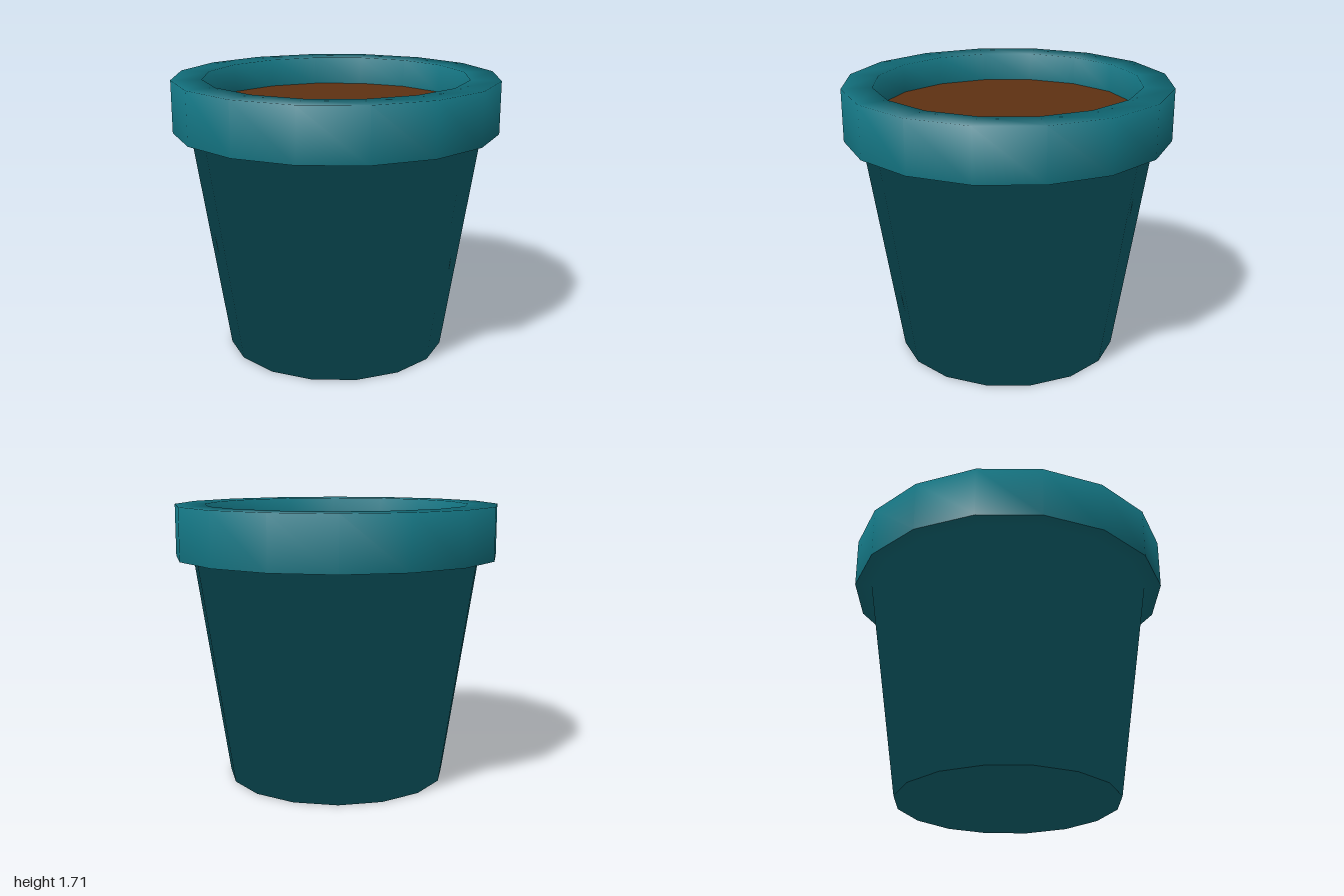
import * as THREE from 'three';

const SIDES = 16;

// Lathe whose normals blend evenly across each profile corner
function smoothLathe(points) {
  const profile = points.map(([r, y]) => new THREE.Vector2(r, y));
  const geometry = new THREE.LatheGeometry(profile, SIDES);
  const edges = profile.slice(1).map((p, i) => {
    const d = p.clone().sub(profile[i]).normalize();
    return new THREE.Vector2(d.y, -d.x);
  });
  const count = profile.length;
  const normals = profile.map((_, i) =>
    edges[Math.max(i - 1, 0)].clone().add(edges[Math.min(i, count - 2)]).normalize());
  const attribute = geometry.attributes.normal;
  for (let i = 0; i < attribute.count; i++) {
    const phi = (Math.floor(i / count) / SIDES) * Math.PI * 2;
    const n = normals[i % count];
    attribute.setXYZ(i, n.x * Math.sin(phi), n.y, n.x * Math.cos(phi));
  }
  return geometry;
}

export function createModel() {
  const model = new THREE.Group();
  model.name = 'flowerPot';

  const glaze = new THREE.MeshStandardMaterial({ color: 0x126f7c });
  glaze.name = 'teal glaze';
  const earth = new THREE.MeshStandardMaterial({ color: 0x5f3112 });
  earth.name = 'brown soil';

  const add = (name, geometry, material) => {
    const mesh = new THREE.Mesh(geometry, material);
    mesh.name = name;
    model.add(mesh);
    return mesh;
  };

  // Tapered wall with the underside of the rim
  add('potBody', smoothLathe([[0.5, 0.005], [0.685, 0], [0.895, 1.39], [1, 1.39]]), glaze);

  // Thick collar and the inner wall down to the soil
  add('rim', smoothLathe([[1, 1.39], [1, 1.71], [0.815, 1.71], [0.8, 1.53]]), glaze);

  // Flat base
  add('base', new THREE.CircleGeometry(0.685, SIDES).rotateX(Math.PI / 2), glaze);

  // Soil surface
  const soil = add('soil', new THREE.CircleGeometry(0.802, SIDES).rotateX(-Math.PI / 2), earth);
  soil.position.y = 1.535;

  return model;
}
